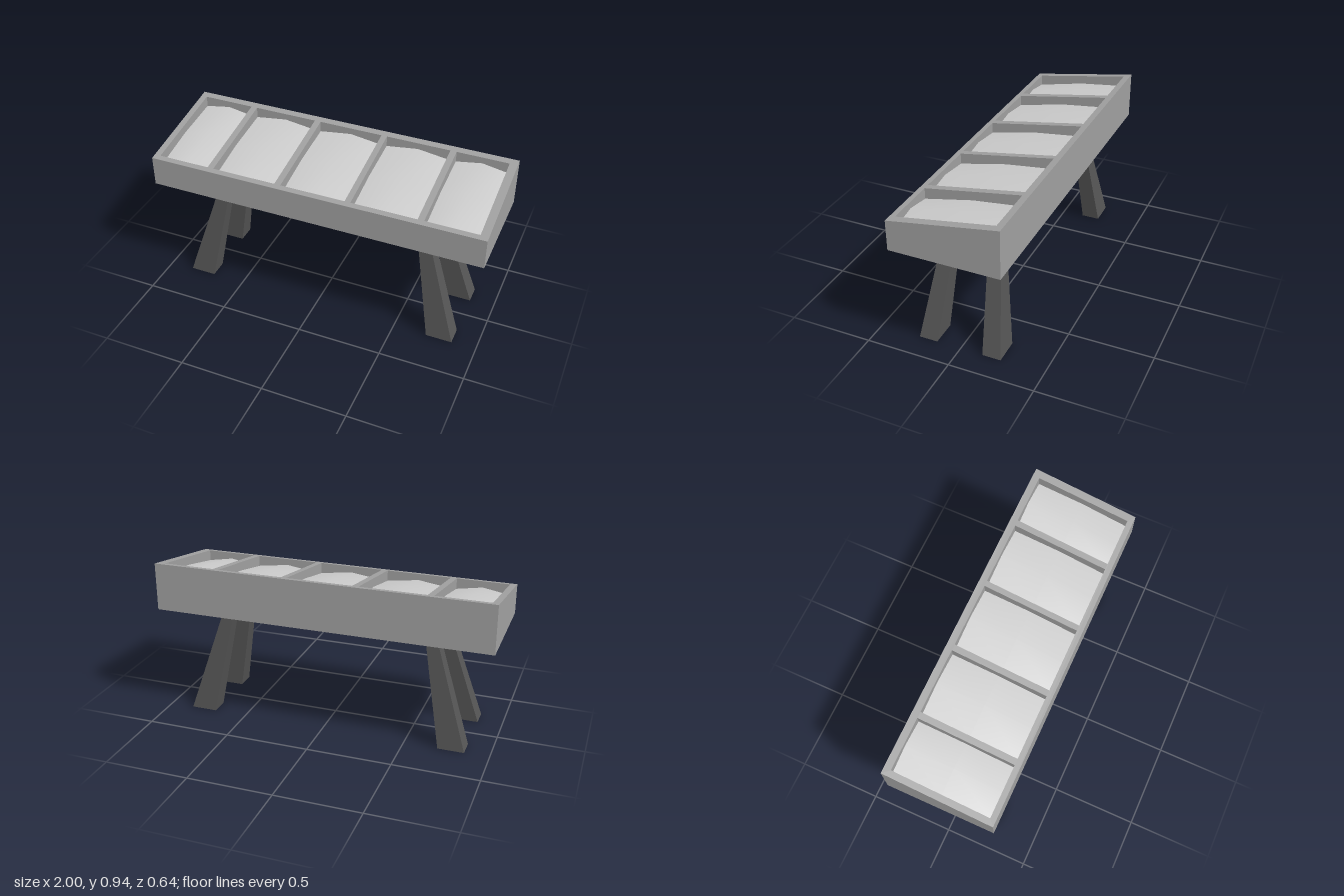
import * as THREE from 'three';

const frameMat = new THREE.MeshStandardMaterial({ color: 0xa0a0a0, side: THREE.DoubleSide });
const fillMat = new THREE.MeshStandardMaterial({ color: 0xcccccc });
const legMat = new THREE.MeshStandardMaterial({ color: 0x555555 });

const HALF_X = 1, HALF_Z = 0.32, BASE = 0.66;
const BACK = -0.28, FRONT = 0.287;
const CELLS = [[-0.963, -0.652], [-0.615, -0.23], [-0.193, 0.193], [0.227, 0.61], [0.647, 0.953]];

// Height of the sloping rim at depth z
const rimY = (z) => 0.892 - 0.164 * z;
const mix = THREE.MathUtils.lerp;

// Move every vertex of a geometry by a rule
function warp(geometry, rule) {
  const p = geometry.attributes.position;
  const v = new THREE.Vector3();
  for (let i = 0; i < p.count; i++) {
    rule(v.fromBufferAttribute(p, i));
    p.setXYZ(i, v.x, v.y, v.z);
  }
  geometry.computeVertexNormals();
  return geometry;
}

function add(parent, name, geometry, material) {
  const mesh = new THREE.Mesh(geometry, material);
  mesh.name = name;
  parent.add(mesh);
}

// Rectangle in (x, -z), as a shape outline or a hole
function rect(x0, x1, z0, z1, Type) {
  return new Type([[x0, -z1], [x1, -z1], [x1, -z0], [x0, -z0]].map(([x, y]) => new THREE.Vector2(x, y)));
}

// Sloping grid of rails around the compartments
function rimGeometry() {
  const depth = 0.09;
  const shape = rect(-HALF_X, HALF_X, -HALF_Z, HALF_Z, THREE.Shape);
  shape.holes = CELLS.map(([a, b]) => rect(a, b, BACK, FRONT, THREE.Path));
  const g = new THREE.ExtrudeGeometry(shape, { depth, bevelEnabled: false }).rotateX(-Math.PI / 2);
  return warp(g, (v) => { v.y += rimY(v.z) - depth; });
}

// Outer wall, thin sheet from the base up to the rim
function wallGeometry(width, x, z, turn) {
  const g = new THREE.PlaneGeometry(width, 1).rotateY(turn).translate(x, 0.5, z);
  return warp(g, (v) => { v.y = mix(BASE, rimY(v.z), v.y); });
}

// Slab in one compartment: sloping underside, softly mounded top
function fillGeometry(x0, x1) {
  const g = new THREE.BoxGeometry(2, 1, 2, 2, 1, 2);
  return warp(g, (v) => {
    const u = 1 - Math.abs(v.x), w = 1 - Math.abs(v.z);
    const drop = v.y > 0 ? 0.065 - 0.027 * u - 0.013 * w : 0.197;
    v.x = mix(x0, x1, (v.x + 1) / 2);
    v.z = mix(BACK, FRONT, (v.z + 1) / 2);
    v.y = rimY(v.z) - drop;
  });
}

// Splayed leg, narrowing towards the top
function legGeometry(sx, sz) {
  return warp(new THREE.BoxGeometry(1, 1, 1), (v) => {
    const t = v.y + 0.5;
    v.x = sx * mix(0.7775, 0.5945, t) + v.x * mix(0.155, 0.0555, t);
    v.z = 0.006 + sz * mix(0.194, 0.1216, t) + v.z * mix(0.11, 0.066, t);
    v.y = t * 0.73;
  });
}

export function createModel() {
  const model = new THREE.Group();
  model.name = 'displayTable';

  const frame = new THREE.Group();
  frame.name = 'frame';
  add(frame, 'rim', rimGeometry(), frameMat);
  add(frame, 'frontWall', wallGeometry(2 * HALF_X, 0, HALF_Z, 0), frameMat);
  add(frame, 'backWall', wallGeometry(2 * HALF_X, 0, -HALF_Z, Math.PI), frameMat);
  add(frame, 'leftWall', wallGeometry(2 * HALF_Z, HALF_X, 0, Math.PI / 2), frameMat);
  add(frame, 'rightWall', wallGeometry(2 * HALF_Z, -HALF_X, 0, -Math.PI / 2), frameMat);
  model.add(frame);

  const fills = new THREE.Group();
  fills.name = 'compartmentFills';
  CELLS.forEach(([a, b], i) => add(fills, `fill${i + 1}`, fillGeometry(a, b), fillMat));
  model.add(fills);

  const legs = new THREE.Group();
  legs.name = 'legs';
  for (const sx of [1, -1]) {
    for (const sz of [1, -1]) {
      add(legs, `${sz > 0 ? 'front' : 'back'}${sx > 0 ? 'Left' : 'Right'}Leg`, legGeometry(sx, sz), legMat);
    }
  }
  model.add(legs);

  return model;
}
